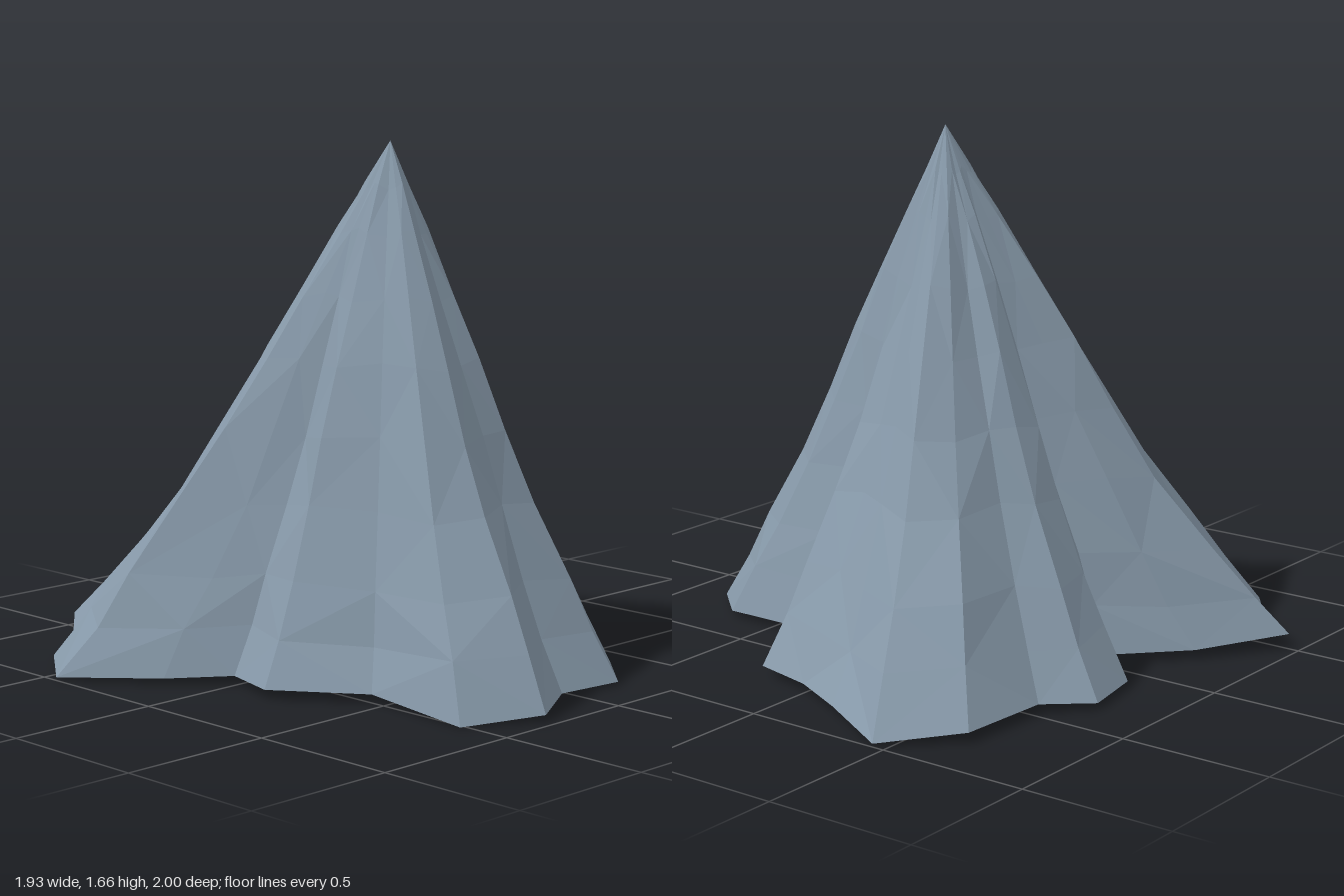
import * as THREE from 'three';

// Hem outline, seen from above: x, z, height
const HEM = [
  [0.965, 0.29, 0.02], [0.83, 0.515, 0.0], [0.46, 0.51, 0.03], [0.19, 0.70, 0.03], [0, 0.65, 0.03],
  [-0.16, 0.80, 0.02], [-0.44, 1.00, 0.01], [-0.64, 0.85, 0.02], [-0.79, 0.65, 0.01], [-0.965, 0.50, 0.05],
  [-0.78, 0.23, 0.03], [-0.59, 0.03, 0.03], [-0.76, -0.12, 0.02], [-0.80, -0.34, 0.02], [-0.68, -0.48, 0.03],
  [-0.66, -0.80, 0.03], [-0.46, -1.00, 0.01], [-0.20, -0.87, 0.03], [0, -0.77, 0.03], [0.21, -0.72, 0.03],
  [0.23, -0.59, 0.03], [0.27, -0.47, 0.03], [0.37, -0.36, 0.03], [0.68, -0.34, 0.02], [0.84, -0.19, 0.01],
  [0.81, 0.04, 0.01],
];
// Rings from hem to peak: height, share of the hem radius
const RINGS = [[0.02, 1], [0.17, 0.89], [0.33, 0.785], [0.55, 0.64], [0.76, 0.52], [0.98, 0.4], [1.18, 0.288], [1.38, 0.17], [1.52, 0.085]];
const PEAK = [0.07, 1.66, 0.035];

// Folded cloth: the hem is scaled towards the peak, folds soften on the way up
function clothGeometry() {
  const pos = [...PEAK], idx = [], n = HEM.length;
  RINGS.forEach(([y, f], j) => {
    HEM.forEach(([x, z, hemY], i) => {
      const dx = x - PEAK[0], dz = z - PEAK[2], r = Math.hypot(dx, dz);
      const soft = 1 + 0.6 * (1 - f) ** 1.5 * (0.85 / r - 1);
      const backSag = 1 - 0.22 * (1 - f) * Math.max(0, -dz / r);
      const crease = j ? 1 + 0.025 * Math.sin(i * 2.4 + j * 1.9) * Math.sin(j * 2.7 + i) : 1;
      const k = f * soft * backSag * crease;
      pos.push(PEAK[0] + dx * k, j ? y + 0.012 * Math.sin(i * 1.7 + j) : hemY, PEAK[2] + dz * k);
    });
  });
  for (let j = 0; j < RINGS.length; j++) {
    for (let i = 0; i < n; i++) {
      const a = 1 + j * n + i, b = 1 + j * n + (i + 1) % n;
      if (j === RINGS.length - 1) idx.push(a, 0, b);
      else if ((i + j) % 2) idx.push(a, a + n, b, b, a + n, b + n);
      else idx.push(a, a + n, b + n, a, b + n, b);
    }
  }
  const geo = new THREE.BufferGeometry();
  geo.setAttribute('position', new THREE.Float32BufferAttribute(pos, 3));
  geo.setIndex(idx);
  const flat = geo.toNonIndexed();
  flat.computeVertexNormals();
  return flat;
}

// Crumpled core hanging inside the cloth
function coreGeometry() {
  const profile = [[0, 0.22], [0.09, 0.15], [0.13, 0.11], [0.165, 0.15], [0.135, 0.24], [0.09, 0.36], [0.065, 0.8], [0.02, 1.3]];
  const geo = new THREE.LatheGeometry(profile.map(([r, y]) => new THREE.Vector2(r, y)), 16);
  const p = geo.attributes.position;
  for (let i = 0; i < p.count; i++) {
    const a = Math.atan2(p.getZ(i), p.getX(i));
    const k = 1 + 0.1 * Math.cos(a * 5) + 0.06 * Math.sin(a * 3);
    p.setX(i, p.getX(i) * k);
    p.setZ(i, p.getZ(i) * k);
  }
  const flat = geo.toNonIndexed();
  flat.computeVertexNormals();
  return flat;
}

export function createModel() {
  const group = new THREE.Group();
  group.name = 'drapedCone';
  const cloth = new THREE.MeshStandardMaterial({ color: 0x8698a8, flatShading: true, side: THREE.DoubleSide });
  cloth.name = 'blueGreyCloth';

  const drape = new THREE.Mesh(clothGeometry(), cloth);
  drape.name = 'drape';
  const core = new THREE.Mesh(coreGeometry(), cloth);
  core.name = 'innerCore';
  core.position.set(-0.02, 0, -0.01);
  group.add(drape, core);
  return group;
}
